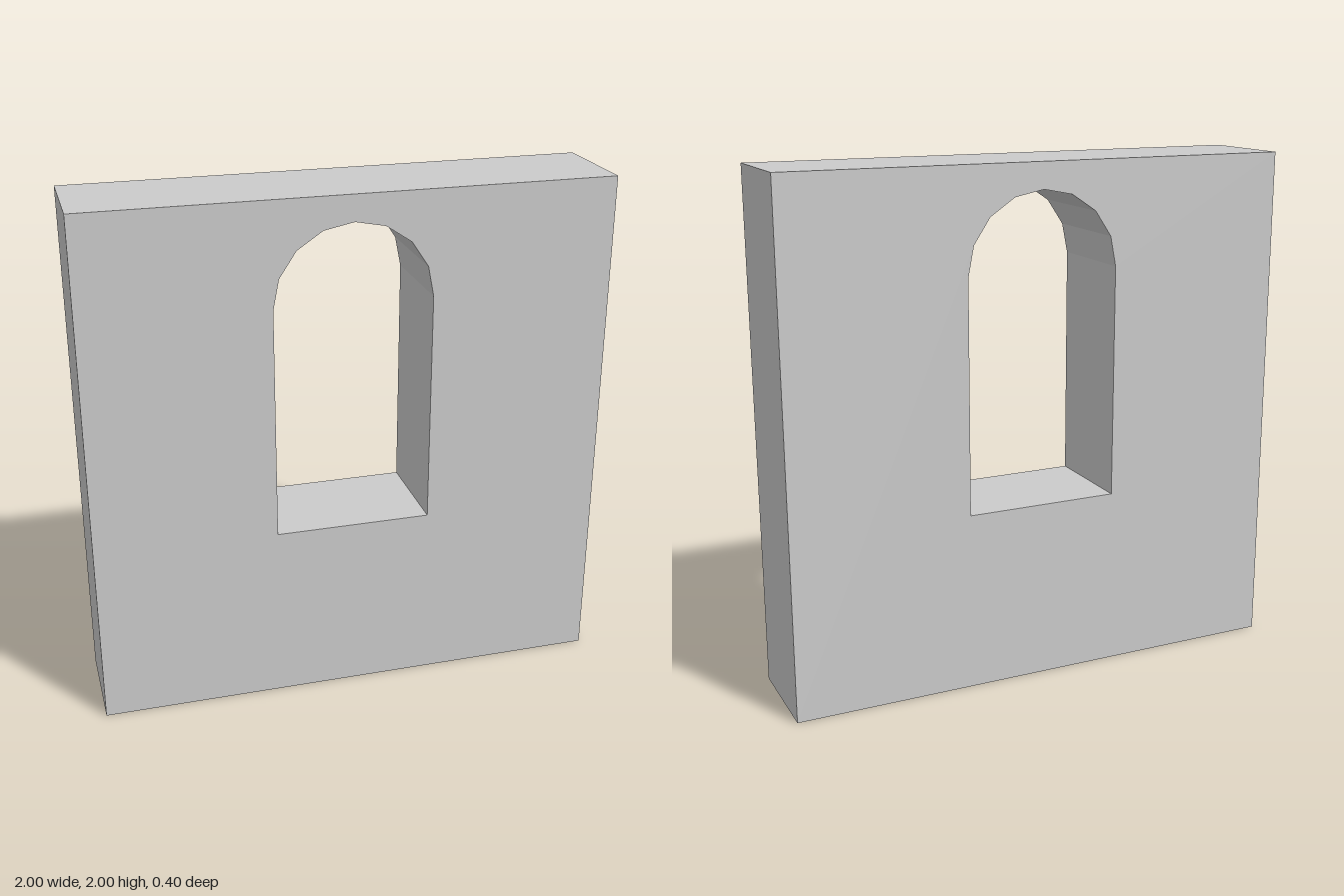
import * as THREE from 'three';

export function createModel() {
  const group = new THREE.Group();
  const depth = 0.4, radius = 0.3, sill = 0.7, spring = 1.6, segments = 8;

  // Square wall outline
  const wall = new THREE.Shape([
    new THREE.Vector2(-1, 0), new THREE.Vector2(1, 0),
    new THREE.Vector2(1, 2), new THREE.Vector2(-1, 2),
  ]);

  // Window opening: straight jambs under a faceted half-round arch
  const opening = [new THREE.Vector2(-radius, sill), new THREE.Vector2(radius, sill)];
  for (let i = 0; i <= segments; i++) {
    const a = (i / segments) * Math.PI;
    opening.push(new THREE.Vector2(radius * Math.cos(a), spring + radius * Math.sin(a)));
  }
  wall.holes.push(new THREE.Path(opening));

  const geometry = new THREE.ExtrudeGeometry(wall, { depth, bevelEnabled: false });
  geometry.translate(0, 0, -depth / 2);

  const mesh = new THREE.Mesh(
    geometry,
    new THREE.MeshStandardMaterial({ color: 0xcccccc, flatShading: true })
  );
  mesh.name = 'wallWithArchedWindow';
  group.add(mesh);
  return group;
}
